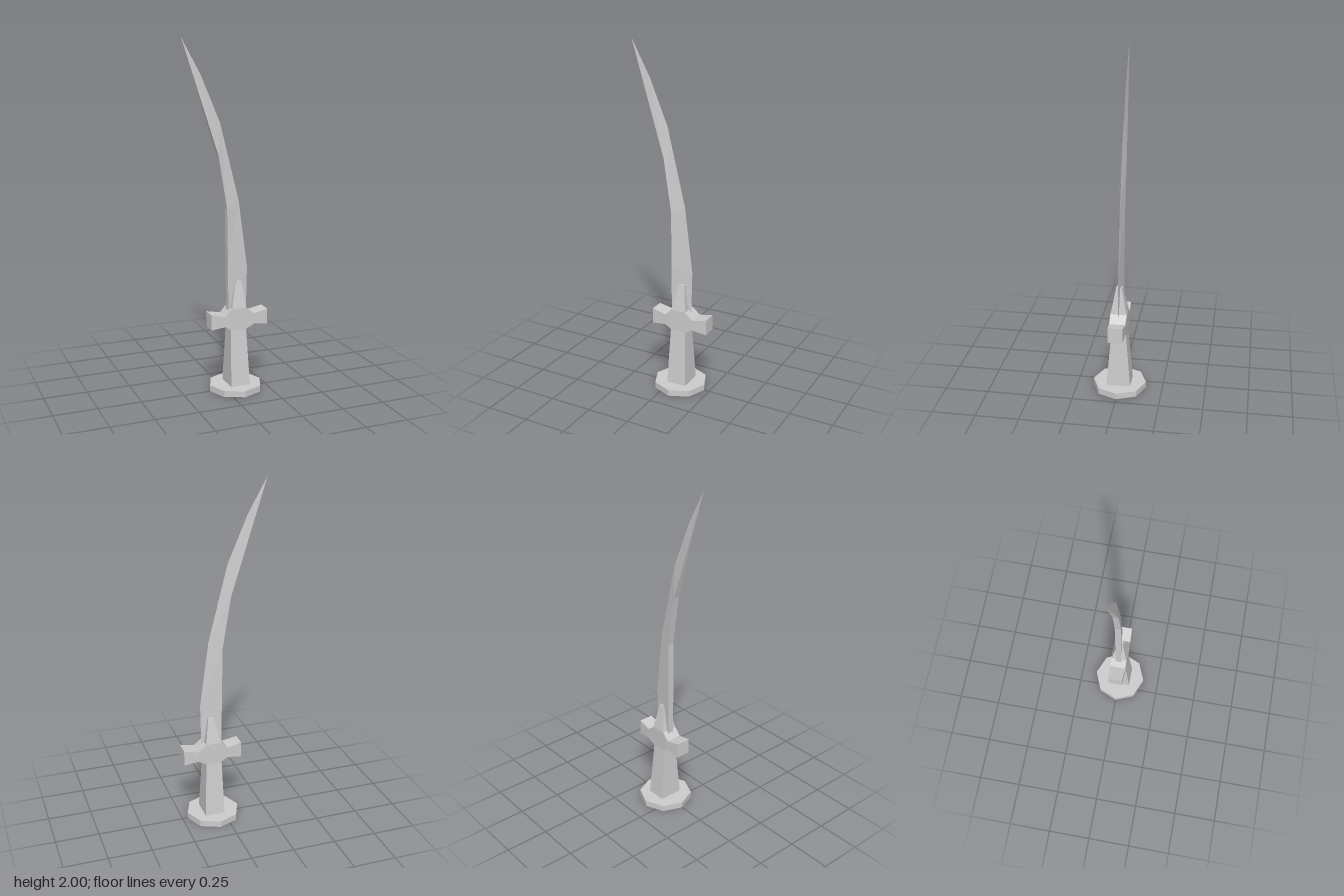
import * as THREE from 'three';

const steel = new THREE.MeshStandardMaterial({ color: 0xcccccc });
steel.name = 'steel';

// Skins matching rings of points (counter-clockwise seen from the far end), with capped ends
function loft(rings) {
  const pos = [];
  const tri = (a, b, c) => pos.push(...a, ...b, ...c);
  const n = rings[0].length;
  for (let i = 0; i < rings.length - 1; i++) {
    for (let j = 0; j < n; j++) {
      const k = (j + 1) % n;
      const a = rings[i][j], b = rings[i][k], c = rings[i + 1][k], d = rings[i + 1][j];
      tri(a, b, c);
      tri(a, c, d);
    }
  }
  const first = rings[0], last = rings[rings.length - 1];
  for (let j = 1; j < n - 1; j++) {
    tri(first[0], first[j + 1], first[j]);
    tri(last[0], last[j], last[j + 1]);
  }
  const g = new THREE.BufferGeometry();
  g.setAttribute('position', new THREE.Float32BufferAttribute(pos, 3));
  g.computeVertexNormals();
  return g;
}

// Rectangular rings: level in y, or upright in x
const ringY = ([y, x0, x1, z]) => [[x1, y, z], [x1, y, -z], [x0, y, -z], [x0, y, z]];
const ringX = ([x, y0, y1, z]) => [[x, y1, -z], [x, y1, z], [x, y0, z], [x, y0, -z]];

export function createModel() {
  const group = new THREE.Group();
  group.name = 'curvedSword';
  const add = (name, geometry) => {
    const mesh = new THREE.Mesh(geometry, steel);
    mesh.name = name;
    group.add(mesh);
  };

  // Octagonal pommel
  const pommel = new THREE.CylinderGeometry(0.155, 0.155, 0.036, 8).toNonIndexed();
  pommel.computeVertexNormals();
  pommel.translate(0.064, 0.018, 0);
  add('pommel', pommel);

  // Grip, narrowing upward
  add('grip', loft([[0.03, 0.012, 0.128, 0.07], [0.38, 0.022, 0.113, 0.041]].map(ringY)));

  // Crossguard with flared ends: x, bottom, top, half depth
  add('crossguard', loft([
    [-0.097, 0.38, 0.47, 0.042],
    [-0.012, 0.391, 0.452, 0.046],
    [0.025, 0.367, 0.492, 0.047],
    [0.113, 0.367, 0.492, 0.047],
    [0.162, 0.391, 0.452, 0.046],
    [0.245, 0.38, 0.47, 0.042],
  ].map(ringX)));

  // Tapered collar clasping the blade
  add('collar', loft([[0.485, 0.025, 0.115, 0.047], [0.645, 0.06, 0.093, 0.017]].map(ringY)));

  // Blade wedge: spine x, y, front z, back z, then edge x, y, z
  add('blade', loft([
    [0.015, 0.46, 0.018, -0.018, 0.13, 0.46, 0],
    [0.012, 0.74, 0.018, -0.019, 0.135, 0.72, 0],
    [0.008, 1.06, 0.015, -0.021, 0.085, 1.1, -0.003],
    [-0.04, 1.36, 0.011, -0.023, -0.025, 1.54, -0.006],
    [-0.123, 1.62, 0.003, -0.017, -0.135, 1.8, -0.007],
    [-0.245, 2, -0.008, -0.008, -0.245, 2, -0.008],
  ].map(([sx, sy, zf, zb, ex, ey, ez]) => [[ex, ey, ez], [sx, sy, zb], [sx, sy, zf]])));

  return group;
}
